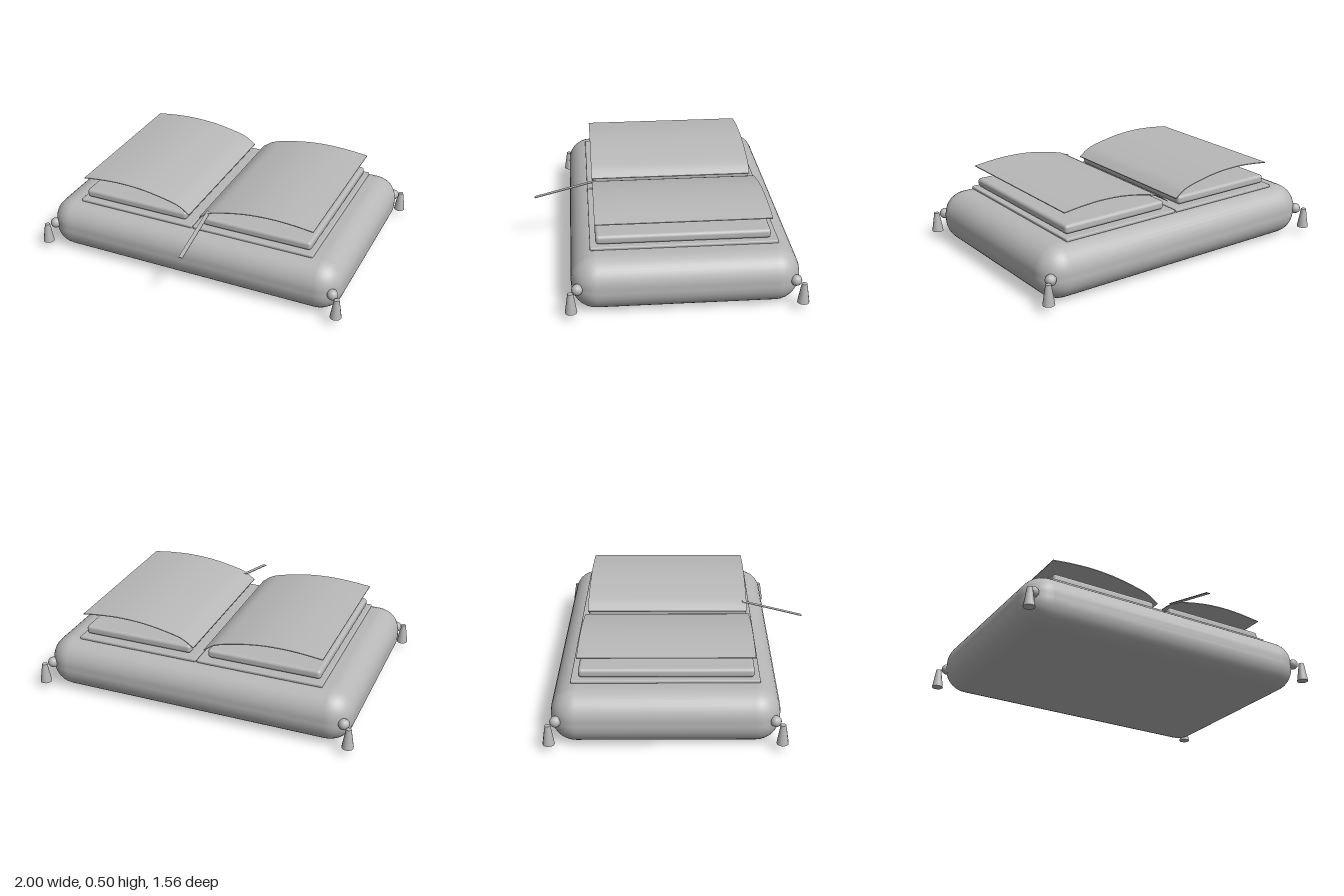
import * as THREE from 'three';
import { RoundedBoxGeometry } from 'three/addons/geometries/RoundedBoxGeometry.js';

const MID_Z = -0.087; // centre line of cushion and book

export function createModel() {
  const group = new THREE.Group();
  const grey = new THREE.MeshStandardMaterial({ color: 0xb8b8b8, side: THREE.DoubleSide });
  grey.name = 'softGrey';

  const add = (name, geometry, x, y, z) => {
    const mesh = new THREE.Mesh(geometry, grey);
    mesh.name = name;
    mesh.position.set(x, y, z);
    group.add(mesh);
    return mesh;
  };

  // Plump cushion
  add('cushion', new RoundedBoxGeometry(1.92, 0.32, 1.305, 4, 0.145), 0, 0.16, MID_Z);

  // Cross-section of one arched leaf, from the gutter outwards
  const arch = [[0.033, 0.387], [0.1, 0.432], [0.2, 0.46], [0.35, 0.486],
    [0.5, 0.494], [0.63, 0.488], [0.755, 0.474]];

  for (const [side, label] of [[1, 'left'], [-1, 'right']]) {
    // Cover board and block of pages
    add(label + 'Cover', new RoundedBoxGeometry(0.766, 0.02, 1.08, 2, 0.007), side * 0.386, 0.327, -0.088);
    add(label + 'PageBlock', new RoundedBoxGeometry(0.69, 0.055, 1.005, 3, 0.02), side * 0.4, 0.367, -0.083);

    // Arched open leaf: a thin sheet bent along the curve
    const curve = new THREE.CatmullRomCurve3(arch.map(([x, y]) => new THREE.Vector3(side * x, y, 0)));
    const leaf = new THREE.BoxGeometry(1, 0.005, 1.01, 20, 1, 1);
    const p = leaf.attributes.position;
    for (let i = 0; i < p.count; i++) {
      const c = curve.getPoint(side * p.getX(i) + 0.5);
      p.setXY(i, c.x, c.y + p.getY(i));
    }
    leaf.computeVertexNormals();
    add(label + 'Leaf', leaf, 0, 0, -0.083);

    // Corner tassels: a knob on the cushion and a flared skirt
    for (const [end, place] of [[1, 'Front'], [-1, 'Back']]) {
      add(label + place + 'TasselKnob', new THREE.SphereGeometry(0.033, 12, 8),
        side * 0.926, 0.165, MID_Z + end * 0.618);
      add(label + place + 'TasselSkirt', new THREE.CylinderGeometry(0.016, 0.035, 0.12, 12),
        side * 0.965, 0.105, MID_Z + end * 0.656);
    }
  }

  // Ribbon bookmark sloping down over the front edge
  const ribbon = add('ribbon', new THREE.BoxGeometry(0.025, 0.004, 0.395), 0.088, 0.382, 0.587);
  ribbon.rotation.x = Math.atan2(0.098, 0.382);

  return group;
}
